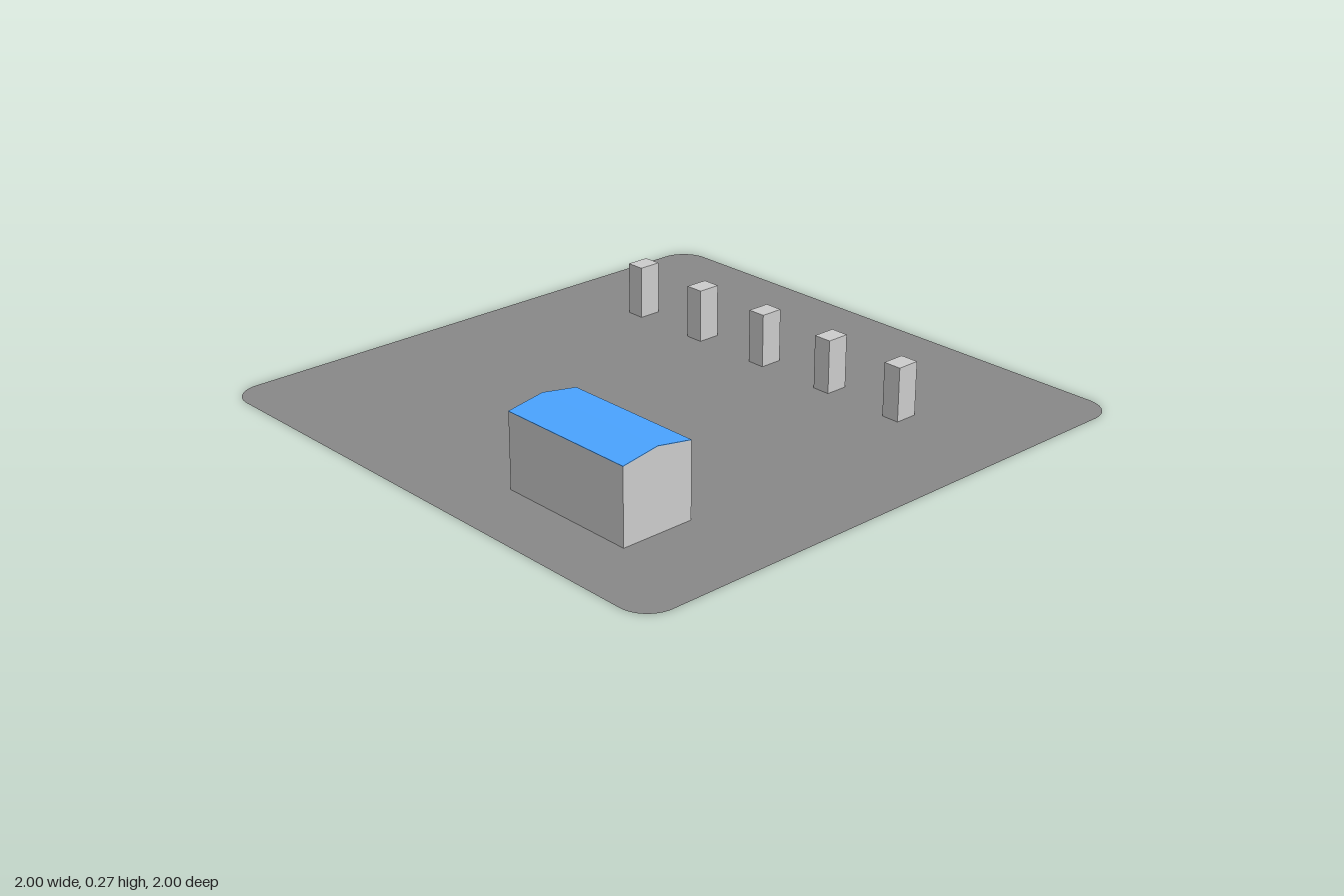
import * as THREE from 'three';

const material = (color, options = {}) => new THREE.MeshStandardMaterial({ color, ...options });

function addMesh(parent, name, geometry, mat) {
  const mesh = new THREE.Mesh(geometry, mat);
  mesh.name = name;
  parent.add(mesh);
  return mesh;
}

// Extrudes a (z, y) outline along x, centred on x = 0
function extrudeAlongX(points, length) {
  const shape = new THREE.Shape(points.map(([z, y]) => new THREE.Vector2(-z, y)));
  const geometry = new THREE.ExtrudeGeometry(shape, { depth: length, bevelEnabled: false });
  geometry.translate(0, 0, -length / 2);
  return geometry.rotateY(Math.PI / 2);
}

// Flat square sheet with rounded corners
function roundedSheet(half, radius) {
  const shape = new THREE.Shape();
  const c = half - radius;
  [[c, c], [-c, c], [-c, -c], [c, -c]].forEach(([x, y], i) =>
    shape.absarc(x, y, radius, i * Math.PI / 2, (i + 1) * Math.PI / 2, false));
  return new THREE.ShapeGeometry(shape, 12).rotateX(-Math.PI / 2);
}

export function createModel() {
  const model = new THREE.Group();
  model.name = 'courtyard';
  const grey = material(0xcccccc, { flatShading: true });

  // Ground sheet
  addMesh(model, 'ground', roundedSheet(1, 0.1), material(0x888888, { side: THREE.DoubleSide }));

  // Row of posts along the back
  const posts = new THREE.Group();
  posts.name = 'posts';
  model.add(posts);
  const postGeometry = new THREE.BoxGeometry(0.064, 0.183, 0.08);
  for (let i = 0; i < 5; i++) {
    addMesh(posts, `post${i + 1}`, postGeometry, grey).position.set(-0.633 + i * 0.3, 0.0915, -0.461);
  }

  // House: gabled walls under a thin two-slope roof
  const house = new THREE.Group();
  house.name = 'house';
  house.position.set(0.406, 0, 0.642);
  model.add(house);
  const half = 0.128, eave = 0.25, ridge = 0.271, thick = 0.002, length = 0.5;
  addMesh(house, 'walls', extrudeAlongX(
    [[half, 0], [-half, 0], [-half, eave], [0, ridge], [half, eave]], length), grey);
  addMesh(house, 'roof', extrudeAlongX(
    [[half, eave], [0, ridge], [-half, eave], [-half, eave + thick], [0, ridge + thick], [half, eave + thick]],
    length), material(0x4aa3ff, { flatShading: true }));

  return model;
}
